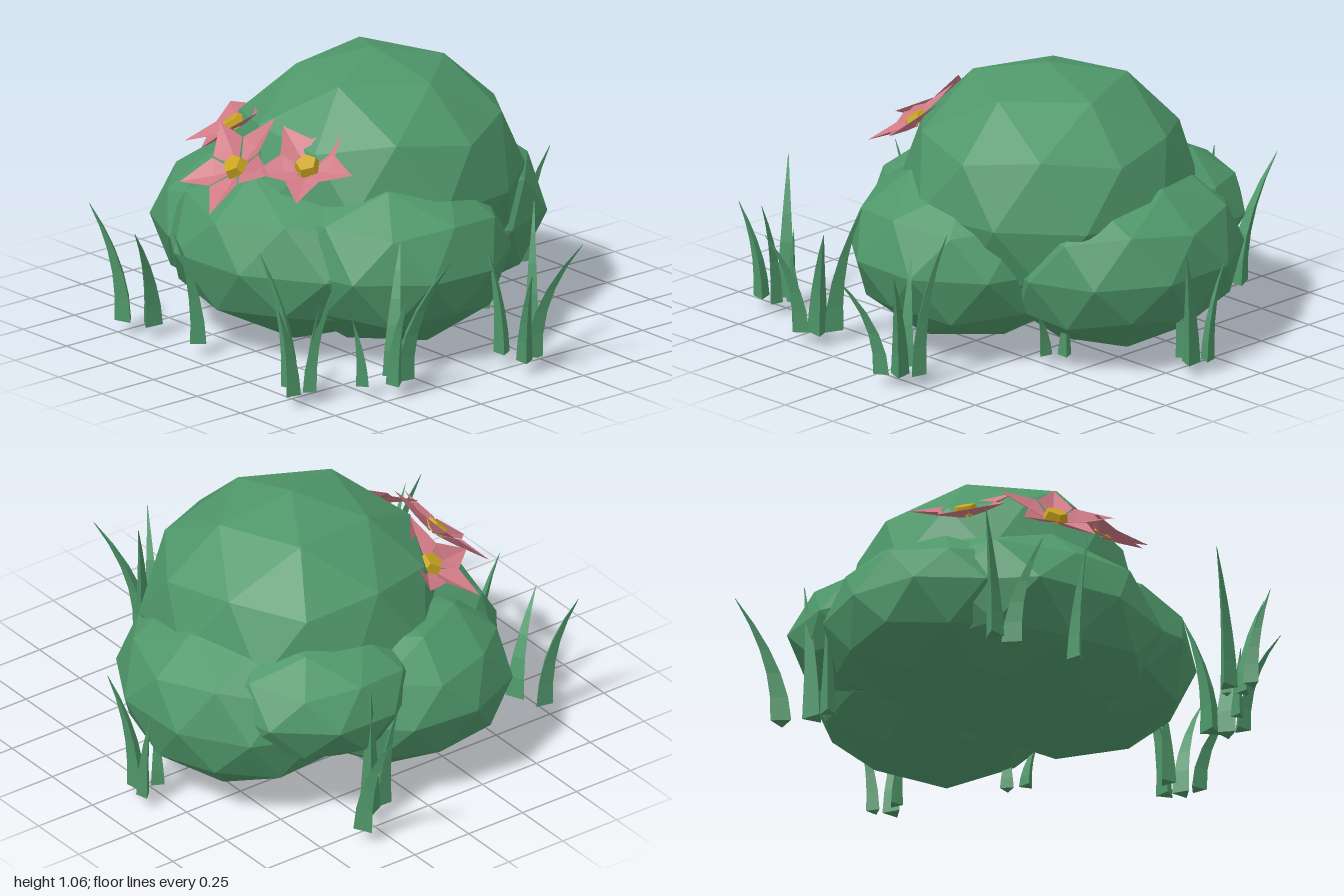
import * as THREE from 'three';

const mat = (name, color, side = THREE.FrontSide) => {
  const m = new THREE.MeshStandardMaterial({ color, flatShading: true, side });
  m.name = name;
  return m;
};

// Faceted foliage clump: icosphere with a vertex at the pole, gently dented
function clump(name, [x, y, z], [rx, ry, rz], turn, dent, material) {
  const g = new THREE.IcosahedronGeometry(1, 1);
  g.rotateX(-Math.atan((1 + Math.sqrt(5)) / 2));
  g.rotateY(turn);
  const p = g.attributes.position;
  for (let i = 0; i < p.count; i++) {
    const a = p.getX(i), b = p.getY(i), c = p.getZ(i);
    const k = 1 + dent * Math.sin(5 * a + 3 * turn) * Math.cos(4 * c + 2 * b + turn);
    p.setXYZ(i, a * rx * k, b * ry * k, c * rz * k);
  }
  g.computeVertexNormals();
  const m = new THREE.Mesh(g, material);
  m.name = name;
  m.position.set(x, y, z);
  return m;
}

// Three-sided blade that tapers and bends from its foot towards its tip
function blade([x, z, tx, tz, h, r], material) {
  const g = new THREE.CylinderGeometry(1, 1, 1, 3, 5);
  g.rotateY(Math.atan2(tx - x, tz - z));
  const p = g.attributes.position;
  for (let i = 0; i < p.count; i++) {
    const t = p.getY(i) + 0.5;
    const w = r * (1 - 0.97 * Math.pow(t, 1.2)), bend = t * t;
    p.setXYZ(i, x + (tx - x) * bend + p.getX(i) * w, 0.05 + h * t, z + (tz - z) * bend + p.getZ(i) * w);
  }
  g.computeVertexNormals();
  const m = new THREE.Mesh(g, material);
  m.name = 'grassBlade';
  return m;
}

// Ridged pointed petal lying along +x, with y as the flower's axis
function petalGeometry(len) {
  const root = [0.01, 0, 0], tip = [len, 0.05, 0], ridge = [len * 0.45, 0.018, 0];
  const l = [len * 0.42, 0.042, 0.068], r = [len * 0.42, 0.042, -0.068];
  const g = new THREE.BufferGeometry();
  g.setAttribute('position', new THREE.Float32BufferAttribute(
    [root, l, ridge, l, tip, ridge, tip, r, ridge, r, root, ridge].flat(), 3));
  g.computeVertexNormals();
  return g;
}

function flower(pos, normal, spin, len, pink, yellow) {
  const f = new THREE.Group();
  f.name = 'flower';
  const g = petalGeometry(len);
  for (let i = 0; i < 5; i++) {
    const petal = new THREE.Mesh(g, pink);
    petal.name = 'petal';
    petal.rotation.y = spin + (i * Math.PI * 2) / 5;
    f.add(petal);
  }
  const heart = new THREE.Mesh(new THREE.CylinderGeometry(0.04, 0.052, 0.035, 5), yellow);
  heart.name = 'flowerHeart';
  heart.position.y = 0.027;
  heart.rotation.y = spin;
  f.add(heart);
  f.position.set(...pos);
  f.quaternion.setFromUnitVectors(new THREE.Vector3(0, 1, 0), new THREE.Vector3(...normal).normalize());
  return f;
}

export function createModel() {
  const root = new THREE.Group();
  root.name = 'floweringBush';
  const leaf = mat('leafGreen', 0x4f976a);
  const pink = mat('petalPink', 0xd07a86, THREE.DoubleSide);
  const yellow = mat('heartYellow', 0xc9a41f);

  // Foliage
  const bush = new THREE.Group();
  bush.name = 'foliage';
  bush.add(
    clump('topClump', [0.1, 0.57, -0.03], [0.565, 0.49, 0.565], 0.1, 0.02, leaf),
    clump('frontClump', [-0.05, 0.37, 0.19], [0.46, 0.35, 0.51], 0.6, 0.025, leaf),
    clump('leftSideClump', [0.41, 0.375, -0.1], [0.425, 0.345, 0.5], 1.6, 0.025, leaf),
    clump('rightSideClump', [-0.17, 0.36, -0.08], [0.53, 0.355, 0.57], 2.2, 0.025, leaf),
    clump('backClump', [-0.12, 0.36, -0.37], [0.45, 0.31, 0.43], 0.5, 0.025, leaf),
    clump('backCornerClump', [0.25, 0.45, -0.33], [0.41, 0.26, 0.43], 1.2, 0.025, leaf)
  );
  root.add(bush);

  // Grass: foot x, z, tip x, z, height, foot radius
  const grass = new THREE.Group();
  grass.name = 'grass';
  [
    [0.33, -0.8, 0.34, -0.99, 0.47, 0.045], [0.24, -0.71, 0.26, -0.74, 0.54, 0.045],
    [0.17, -0.69, 0.12, -0.72, 0.4, 0.035],
    [-0.73, -0.48, -0.83, -0.57, 0.46, 0.04], [-0.69, -0.38, -0.82, -0.32, 0.4, 0.045],
    [-0.69, -0.11, -0.8, -0.12, 0.45, 0.035], [0.85, -0.12, 0.87, -0.19, 0.38, 0.03],
    [0.83, -0.05, 0.9, 0.04, 0.46, 0.04], [0.76, -0.08, 0.74, -0.04, 0.3, 0.03],
    [-0.75, 0.5, -0.83, 0.41, 0.52, 0.04], [-0.81, 0.57, -0.9, 0.6, 0.36, 0.035],
    [-0.69, 0.53, -0.66, 0.55, 0.3, 0.022], [-0.73, 0.58, -0.69, 0.69, 0.42, 0.03],
    [-0.54, 0.66, -0.58, 0.65, 0.26, 0.028],
    [-0.37, 0.64, -0.28, 0.57, 0.48, 0.045], [-0.44, 0.73, -0.49, 0.87, 0.4, 0.036],
    [-0.38, 0.7, -0.24, 0.81, 0.45, 0.045], [0.1, 0.71, 0.07, 0.66, 0.4, 0.036],
    [0.2, 0.76, 0.28, 0.68, 0.55, 0.036], [0.1, 0.84, 0.0, 1.0, 0.4, 0.036],
    [0.16, 0.81, 0.28, 0.96, 0.45, 0.04],
    [0.38, 0.27, 0.4, 0.33, 0.2, 0.03], [0.44, 0.22, 0.47, 0.24, 0.2, 0.03]
  ].forEach((b) => grass.add(blade(b, leaf)));
  root.add(grass);

  // Star flowers, some petals sinking into the foliage
  root.add(
    flower([-0.5, 0.69, -0.1], [-0.69, 0.72, -0.08], 0.91, 0.235, pink, yellow),
    flower([-0.385, 0.735, 0.165], [-0.48, 0.82, 0.28], 0, 0.2, pink, yellow),
    flower([-0.29, 0.74, -0.355], [-0.38, 0.82, -0.38], 0.87, 0.215, pink, yellow)
  );
  return root;
}
